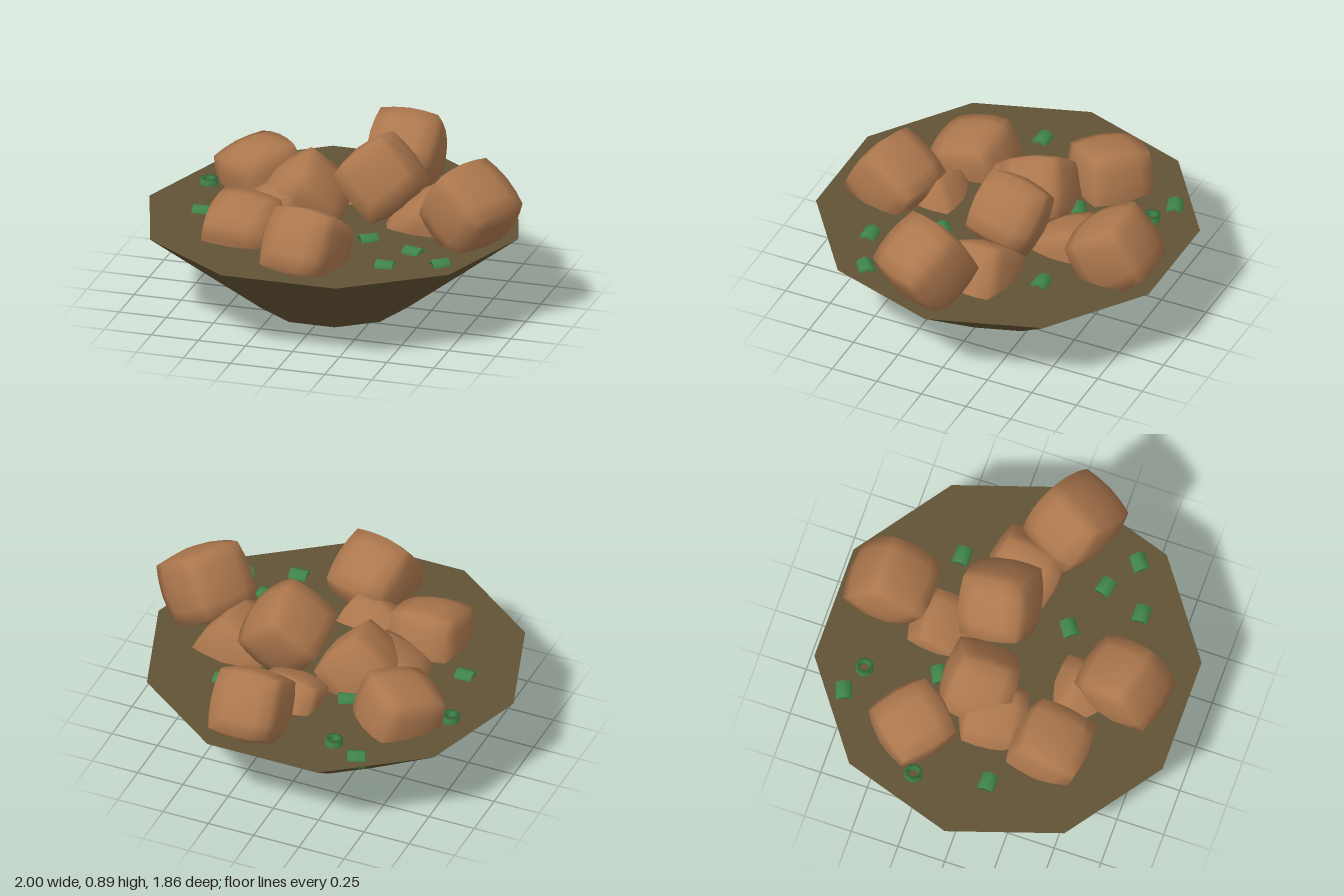
import * as THREE from 'three';
import { mergeVertices } from 'three/addons/utils/BufferGeometryUtils.js';

// Cube with bulging faces and softened corners, smooth shaded
function chunkGeometry() {
  const box = new THREE.BoxGeometry(0.34, 0.34, 0.34, 4, 4, 4);
  box.deleteAttribute('normal');
  box.deleteAttribute('uv');
  const geo = mergeVertices(box);
  const pos = geo.attributes.position;
  const p = new THREE.Vector3();
  for (let i = 0; i < pos.count; i++) {
    p.fromBufferAttribute(pos, i);
    p.lerp(p.clone().setLength(0.225), 0.45);
    pos.setXYZ(i, p.x, p.y, p.z);
  }
  geo.computeVertexNormals();
  return geo;
}

// Short hollow stalk slice
function ringGeometry(height) {
  const h = height / 2;
  const profile = [[0.026, -h], [0.048, -h], [0.048, h], [0.026, h], [0.026, -h]];
  return new THREE.LatheGeometry(profile.map(([x, y]) => new THREE.Vector2(x, y)), 8);
}

export function createModel() {
  const group = new THREE.Group();
  const material = (name, color) => {
    const m = new THREE.MeshStandardMaterial({ color });
    m.name = name;
    return m;
  };
  const bowlBrown = material('bowl brown', 0x625335);
  const chunkBrown = material('chunk brown', 0xac774d);
  const herbGreen = material('herb green', 0x40854a);

  const add = (name, geo, mat, x, y, z, rx = 0, ry = 0, rz = 0) => {
    const mesh = new THREE.Mesh(geo, mat);
    mesh.name = name;
    mesh.position.set(x, y, z);
    mesh.rotation.set(rx, ry, rz, 'YXZ');
    group.add(mesh);
    return mesh;
  };

  // Ten-sided bowl, closed by the flat surface of the sauce
  add('bowl', new THREE.CylinderGeometry(0.98, 0.39, 0.445, 10), bowlBrown, -0.018, 0.2225, 0, 0, Math.PI / 2);

  // Tumbled chunks: x, y, z, rx, ry, rz, scale
  const chunk = chunkGeometry();
  [
    [0.15, 0.56, -0.68, 0.61, 0, -0.03, 1],
    [-0.51, 0.48, -0.34, 0.25, -0.69, 0.1, 1],
    [-0.2, 0.5, -0.09, 0.3, 0.1, 0.7, 0.97],
    [0.2, 0.645, -0.115, -0.25, 0.03, 0.75, 1],
    [0.74, 0.62, 0.1, 0.05, -0.5, -0.6, 1.03],
    [-0.39, 0.44, 0.35, 0.3, -0.08, -0.1, 1],
    [0.03, 0.52, 0.61, -0.55, -0.24, 0, 1],
    [0.06, 0.39, -0.38, 0.5, 0, 0.1, 0.88],
    [0.48, 0.41, -0.08, 0.2, -0.1, 0.6, 1],
    [-0.31, 0.4, 0.02, 0.2, 0.2, 0.5, 0.92],
    [-0.04, 0.36, 0.41, 0.6, 0.1, 0.5, 0.88],
  ].forEach(([x, y, z, rx, ry, rz, s]) => {
    add('chunk', chunk, chunkBrown, x, y, z, rx, ry, rz).scale.setScalar(s);
  });

  // Stalk slices lying on their sides: x, z, heading
  const lying = ringGeometry(0.09);
  [
    [-0.45, -0.73, 0.35], [0.43, -0.4, 0], [-0.21, -0.3, 0.45], [-0.68, 0.12, 0],
    [0.24, 0.24, 0.6], [0.51, 0.34, -0.25], [0.69, 0.46, 0.65], [0.43, 0.56, 0.05],
  ].forEach(([x, z, heading]) => {
    add('herbSlice', lying, herbGreen, x, 0.43, z, 0, heading, Math.PI / 2);
  });

  // Stalk slices standing upright
  const standing = ringGeometry(0.09);
  [[-0.3, -0.67], [-0.76, -0.25]].forEach(([x, z]) => {
    add('herbRing', standing, herbGreen, x, 0.43, z);
  });

  return group;
}
